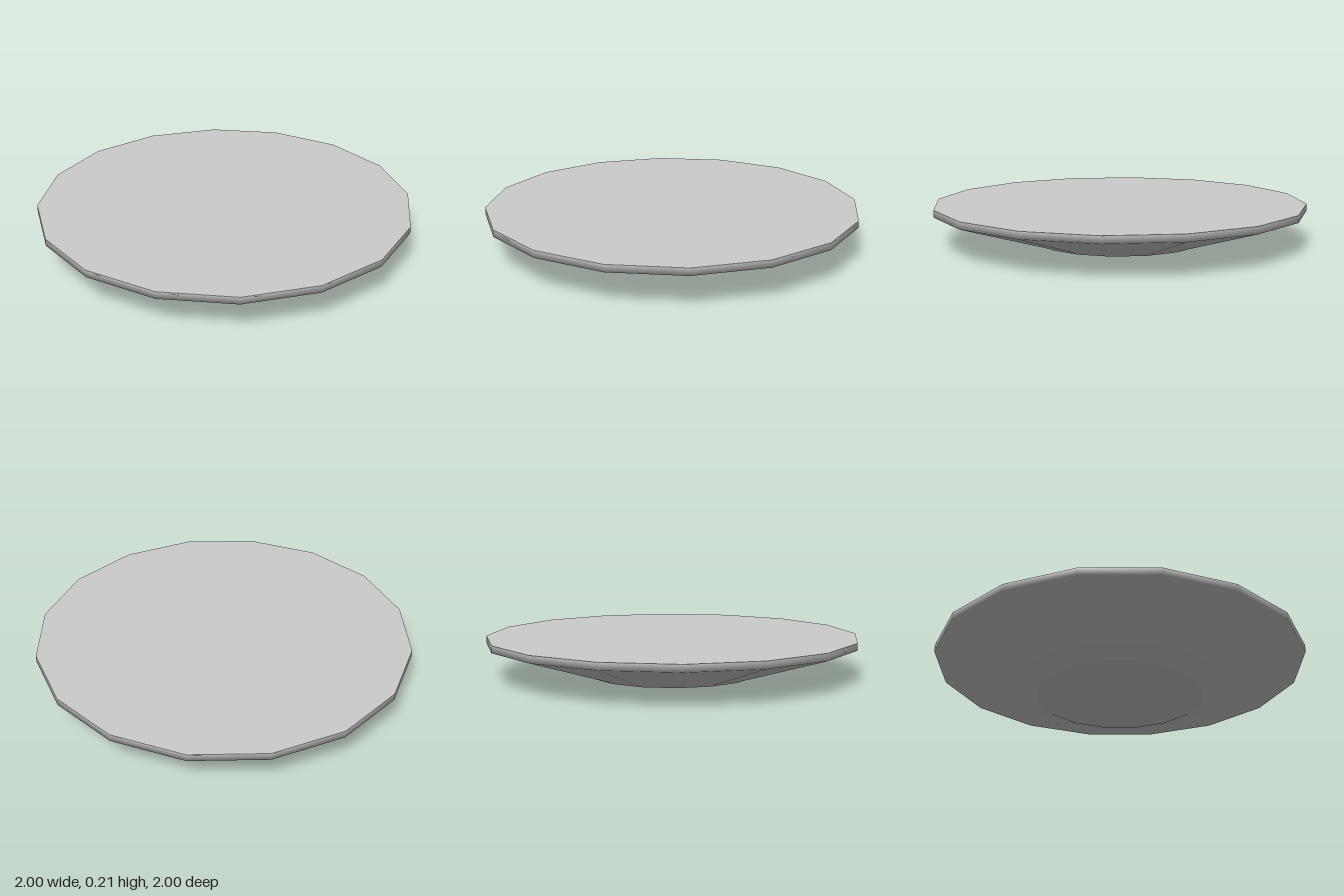
import * as THREE from 'three';

const SIDES = 16;
const BASE_RADIUS = 0.455;
const RIM_RADIUS = 1;
const HEIGHT = 0.21;

export function createModel() {
  const group = new THREE.Group();
  group.name = 'shallowDish';
  const material = new THREE.MeshStandardMaterial({ color: 0xcccccc });

  const add = (name, geometry) => {
    const mesh = new THREE.Mesh(geometry, material);
    mesh.name = name;
    group.add(mesh);
    return mesh;
  };

  // Smooth flared side: small base bevel, long slope, short upright rim
  const profile = [
    [BASE_RADIUS, 0],
    [0.47, 0.008],
    [RIM_RADIUS, 0.172],
    [RIM_RADIUS, HEIGHT],
  ].map(([r, y]) => new THREE.Vector2(r, y));
  add('flaredSide', new THREE.LatheGeometry(profile, SIDES));

  // Flat top and flat base
  const top = add('topSurface', new THREE.CircleGeometry(RIM_RADIUS, SIDES));
  top.rotation.x = -Math.PI / 2;
  top.position.y = HEIGHT;

  const base = add('base', new THREE.CircleGeometry(BASE_RADIUS, SIDES));
  base.rotation.x = Math.PI / 2;

  return group;
}
